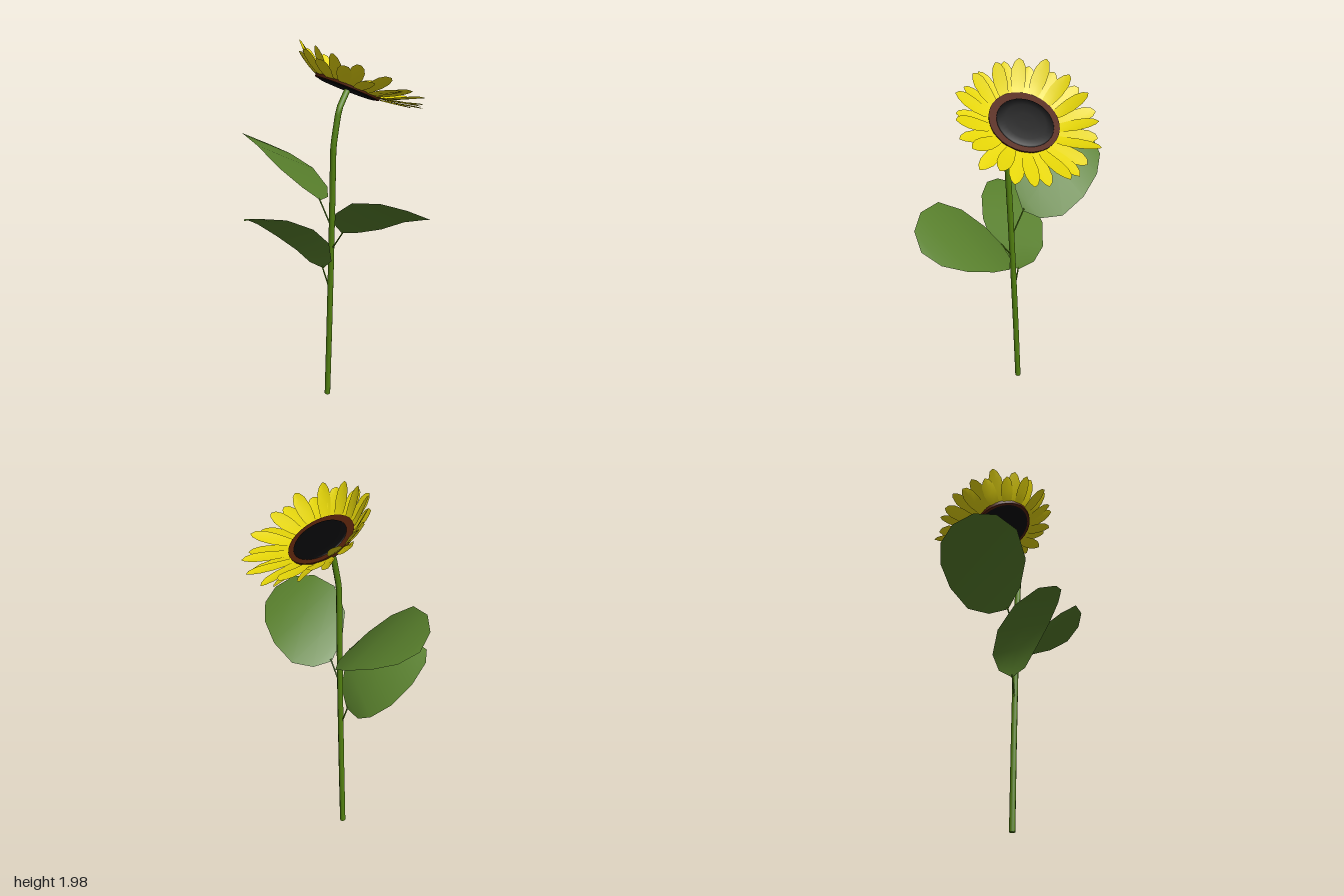
import * as THREE from 'three';

const mat = (name, color, extra = {}) => {
  const m = new THREE.MeshStandardMaterial({ color, ...extra });
  m.name = name;
  return m;
};

// Surface skinned over rows of [centre, half-width vector, fold]: left edge, midrib, right edge
function bladeGeometry(rows) {
  const pos = [], index = [];
  rows.forEach(([c, h, fold = 0], i) => {
    pos.push(c[0] - h[0], c[1] - h[1] + fold, c[2] - h[2]);
    pos.push(...c);
    pos.push(c[0] + h[0], c[1] + h[1] + fold, c[2] + h[2]);
    if (i === 0) return;
    for (let k = 0; k < 2; k++) {
      const a = (i - 1) * 3 + k, b = a + 3;
      index.push(a, a + 1, b, a + 1, b + 1, b);
    }
  });
  const g = new THREE.BufferGeometry();
  g.setAttribute('position', new THREE.Float32BufferAttribute(pos, 3));
  g.setIndex(index);
  g.computeVertexNormals();
  return g;
}

export function createModel() {
  const root = new THREE.Group();
  root.name = 'sunflower';
  const stemGreen = mat('stem green', 0x528010);
  const leafGreen = mat('leaf green', 0x587f2c, { side: THREE.DoubleSide });
  const yellow = mat('petal yellow', 0xe8d808, { side: THREE.DoubleSide });
  const brown = mat('rim brown', 0x52200a);
  const black = mat('seed black', 0x060607);

  const add = (parent, name, geometry, material) => {
    const m = new THREE.Mesh(geometry, material);
    m.name = name;
    parent.add(m);
    return m;
  };
  const V = (x, y, z) => new THREE.Vector3(x, y, z);

  // Stem, kinked towards the head at the top
  const path = new THREE.CatmullRomCurve3([
    V(-0.05, 0, -0.035), V(-0.05, 0.4, -0.019), V(-0.052, 0.8, -0.003), V(-0.056, 1.2, 0.013),
    V(-0.06, 1.47, 0.024), V(-0.026, 1.655, 0.03), V(0.04, 1.738, 0.025),
  ], false, 'catmullrom', 0.1);
  add(root, 'stem', new THREE.TubeGeometry(path, 40, 0.0155, 8), stemGreen);
  const foot = add(root, 'stemFoot', new THREE.CircleGeometry(0.0155, 8), stemGreen);
  foot.rotation.x = Math.PI / 2;
  foot.position.set(-0.05, 0.001, -0.035);

  // Leaf stalks
  const stalk = (name, a, b) =>
    add(root, name, new THREE.TubeGeometry(new THREE.LineCurve3(a, b), 1, 0.004, 5), stemGreen);
  stalk('backLeafStalk', V(-0.055, 1.03, 0.006), V(-0.052, 1.17, -0.085));
  stalk('frontLeafStalk', V(-0.055, 0.9, 0.0), V(-0.052, 1.03, 0.085));
  stalk('sideLeafStalk', V(-0.052, 0.66, -0.01), V(-0.064, 0.795, -0.055));

  // Back and front leaves: distance out, height, half width
  const profile = [
    [0.075, 1.16, 0], [0.11, 1.195, 0.095], [0.19, 1.255, 0.175], [0.32, 1.338, 0.2],
    [0.46, 1.38, 0.165], [0.56, 1.392, 0.095], [0.6, 1.39, 0],
  ];
  for (const [name, side, drop] of [['backLeaf', -1, 0], ['frontLeaf', 1, 0.142]]) {
    const rows = profile.map(([d, y, w]) => [[-0.052, y - drop, side * d], [w, -0.55 * w, 0]]);
    add(root, name, bladeGeometry(rows), leafGreen);
  }

  // Leaf on the right side, given as pairs of edge points
  const edges = [
    [[-0.06, 0.782, -0.05], [-0.06, 0.782, -0.05]],
    [[-0.088, 0.86, 0.035], [-0.05, 0.78, -0.16]],
    [[-0.145, 0.99, 0.07], [-0.065, 0.83, -0.245]],
    [[-0.23, 1.085, 0.045], [-0.14, 0.915, -0.32]],
    [[-0.33, 1.142, -0.04], [-0.25, 1.01, -0.345]],
    [[-0.405, 1.142, -0.15], [-0.365, 1.085, -0.315]],
    [[-0.428, 1.11, -0.25], [-0.428, 1.11, -0.25]],
  ];
  add(root, 'sideLeaf', bladeGeometry(edges.map(([l, r]) => [
    l.map((v, i) => (v + r[i]) / 2), l.map((v, i) => (r[i] - v) / 2),
  ])), leafGreen);

  // Flower head, tilted towards +x and slightly forward
  const head = new THREE.Group();
  head.name = 'flowerHead';
  head.position.set(0.05, 1.755, 0.02);
  head.quaternion.setFromUnitVectors(V(0, 1, 0), V(0.45, 0.89, 0.08).normalize());
  root.add(head);

  add(head, 'rim', new THREE.CylinderGeometry(0.172, 0.168, 0.018, 32), brown).position.y = -0.003;
  const dome = [[0.14, 0.005], [0.135, 0.011], [0.1, 0.014], [0.05, 0.015], [0, 0.015]];
  add(head, 'seedDisc', new THREE.LatheGeometry(
    dome.map(([r, y]) => new THREE.Vector2(r, y)), 32), black).position.x = 0.006;
  add(head, 'underside', new THREE.CylinderGeometry(0.155, 0.145, 0.006, 32), black).position.y = -0.014;

  // Petals: alternating low and high, cupped upwards
  const petals = new THREE.Group();
  petals.name = 'petals';
  head.add(petals);
  const outline = [[0, 0.018], [0.25, 0.03], [0.5, 0.037], [0.75, 0.034], [0.92, 0.02], [1, 0.002]];
  const count = 29;
  for (let i = 0; i < count; i++) {
    const a = (i / count) * Math.PI * 2;
    const c = Math.cos(a), s = Math.sin(a);
    const reach = 0.34 + 0.037 * c + 0.03 * s + 0.012 * Math.sin(i * 2.4);
    const rise = 0.09 - 0.03 * Math.max(c, 0) - 0.02 * s + (i % 2 ? 0.02 : -0.02) + 0.01 * Math.sin(i * 1.7);
    const twist = 0.4 * Math.sin(i * 3.1);
    const rows = outline.map(([t, w]) => {
      const r = 0.15 + (reach - 0.15) * t;
      return [
        [r, -0.008 + rise * Math.pow(t, 1.2), 0],
        [0, w * twist * t, w],
        0.25 * w * t,
      ];
    });
    add(petals, 'petal', bladeGeometry(rows), yellow).rotation.y = -a;
  }
  return root;
}
